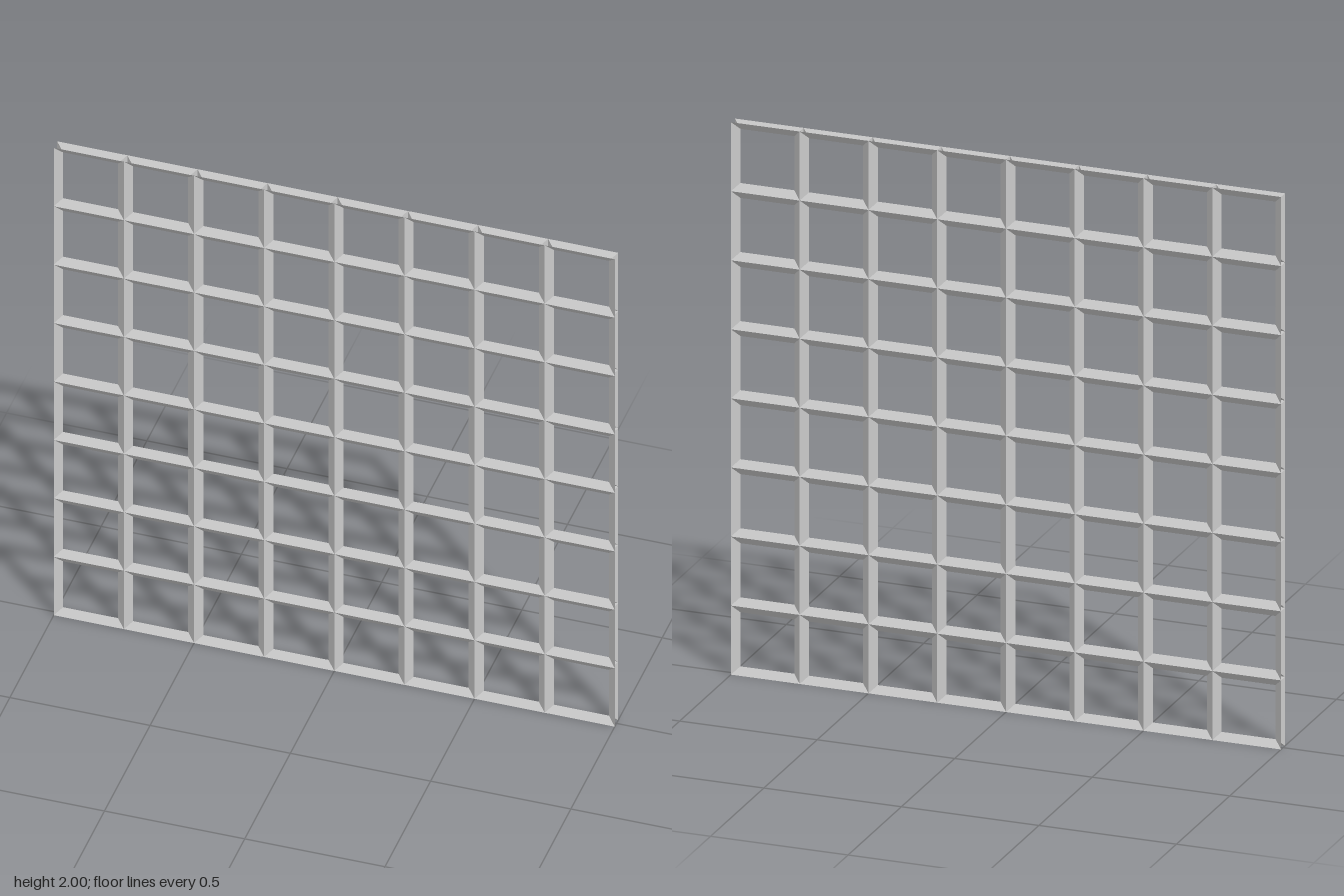
import * as THREE from 'three';

const CELLS = 8;
const PITCH = 2 / CELLS;
const INSET = 0.027; // how far each frame reaches into its opening
const DEPTH = 0.019; // half thickness at the ridges

export function createModel() {
  const group = new THREE.Group();
  group.name = 'lattice';
  const material = new THREE.MeshStandardMaterial({
    color: 0xcccccc, flatShading: true, side: THREE.DoubleSide,
  });

  // One mitred square frame with a V profile: ridges front and back, waist at z = 0.
  // Neighbouring frames meet at the ridges and form hollow diamond-section bars.
  const outer = (PITCH / 2) * Math.SQRT2;
  const inner = (PITCH / 2 - INSET) * Math.SQRT2;
  const profile = [
    new THREE.Vector2(outer, DEPTH),
    new THREE.Vector2(inner, 0),
    new THREE.Vector2(outer, -DEPTH),
  ];
  const frame = new THREE.LatheGeometry(profile, 4, Math.PI / 4).rotateX(Math.PI / 2);

  // Grid of frames
  for (let row = 0; row < CELLS; row++) {
    for (let col = 0; col < CELLS; col++) {
      const cell = new THREE.Mesh(frame, material);
      cell.name = `cellFrame_${row}_${col}`;
      cell.position.set(-1 + (col + 0.5) * PITCH, (row + 0.5) * PITCH, 0);
      group.add(cell);
    }
  }
  return group;
}
